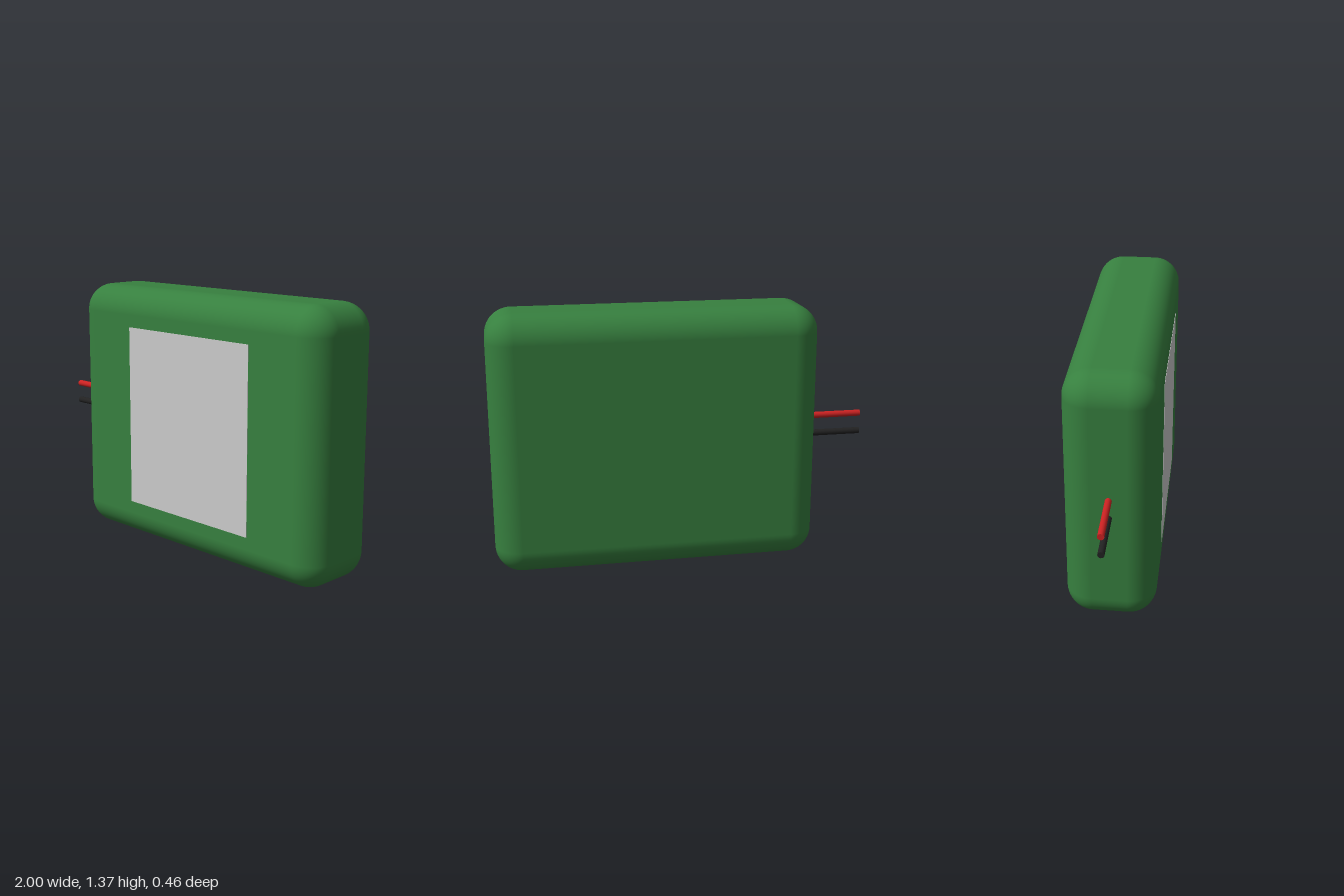
import * as THREE from 'three';
import { RoundedBoxGeometry } from 'three/addons/geometries/RoundedBoxGeometry.js';

const BODY = { w: 1.706, h: 1.365, d: 0.46, r: 0.14, x: 0.147 };

function part(name, geometry, color, x, y, z) {
  const mesh = new THREE.Mesh(geometry, new THREE.MeshStandardMaterial({ color }));
  mesh.name = name;
  mesh.position.set(x, y, z);
  return mesh;
}

export function createModel() {
  const group = new THREE.Group();
  group.name = 'batteryPack';

  // Soft-edged cell pouch
  const body = new RoundedBoxGeometry(BODY.w, BODY.h, BODY.d, 8, BODY.r);
  group.add(part('body', body, 0x37803f, BODY.x, BODY.h / 2, 0));

  // Blank label, a hair proud of the front face
  const label = new THREE.BoxGeometry(0.853, 0.956, 0.004);
  group.add(part('label', label, 0xcccccc, BODY.x, BODY.h / 2, BODY.d / 2));

  // Two leads leaving the side, rooted slightly inside the body
  const left = -1, right = BODY.x - BODY.w / 2 + 0.03;
  const leads = [['redWire', 0xcc2222, 0.735], ['blackWire', 0x222222, 0.635]];
  for (const [name, color, y] of leads) {
    const wire = new THREE.CylinderGeometry(0.017, 0.017, right - left, 16);
    wire.rotateZ(Math.PI / 2);
    group.add(part(name, wire, color, (left + right) / 2, y, 0));
  }
  return group;
}
